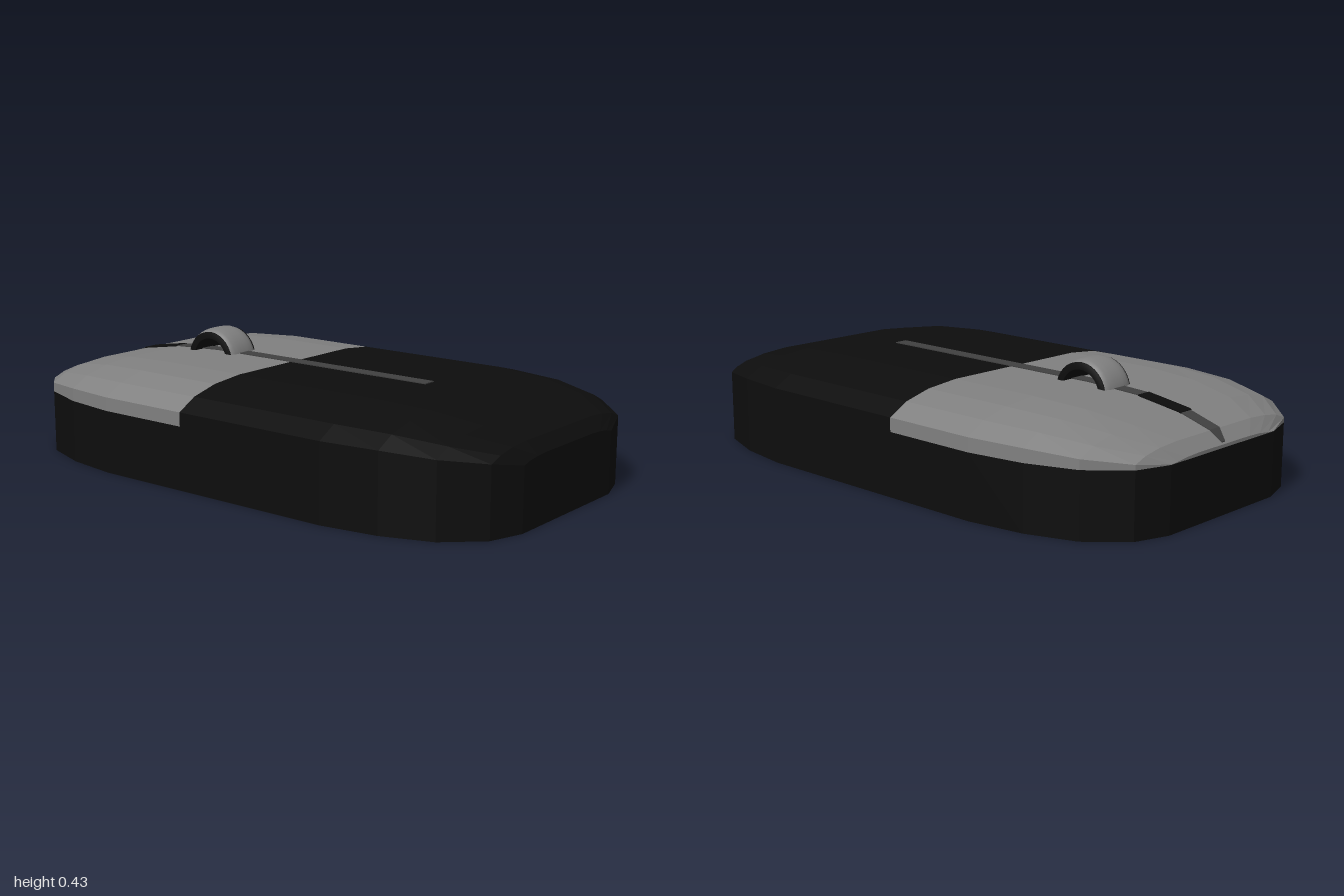
import * as THREE from 'three';

// Half-length stations: [|z|, half width, drop of the dome]
const STATIONS = [[0, 0.59, 0], [0.47, 0.59, 0], [0.67, 0.56, 0.01], [0.84, 0.5, 0.037], [0.96, 0.39, 0.075], [1, 0.27, 0.115]];
// Cross-section of the dome: [fraction of half width, drop]
const CROWN = [[1, 0.078], [0.88, 0.038], [0.71, 0.012], [0.5, 0], [0, 0], [-0.5, 0], [-0.71, 0.012], [-0.88, 0.038], [-1, 0.078]];
const TOP = 0.346, SEAM = 0.22, SPLIT = -0.12;

// Half width and dome drop at any z
function profile(z) {
  const a = Math.abs(z);
  let i = 1;
  while (i < STATIONS.length - 1 && a > STATIONS[i][0]) i++;
  const [p, q] = [STATIONS[i - 1], STATIONS[i]];
  const t = (a - p[0]) / (q[0] - p[0]);
  return { w: p[1] + (q[1] - p[1]) * t, drop: p[2] + (q[2] - p[2]) * t };
}

// Faceted solid through cross-sections, ordered by rising z
function loft(zs, section) {
  const rings = zs.map((z) => section(z).map(([x, y]) => [x, y, z]));
  const pos = [];
  const tri = (...pts) => pts.forEach((p) => pos.push(...p));
  const n = rings[0].length;
  for (let i = 0; i < rings.length - 1; i++) {
    for (let k = 0; k < n; k++) {
      const m = (k + 1) % n;
      const [a, b, c, d] = [rings[i][k], rings[i][m], rings[i + 1][m], rings[i + 1][k]];
      tri(a, b, c);
      tri(a, c, d);
    }
  }
  const first = rings[0], last = rings[rings.length - 1];
  for (let k = 1; k < n - 1; k++) {
    tri(first[0], first[k + 1], first[k]);
    tri(last[0], last[k], last[k + 1]);
  }
  const g = new THREE.BufferGeometry();
  g.setAttribute('position', new THREE.Float32BufferAttribute(pos, 3));
  g.computeVertexNormals();
  return g;
}

const crown = (z) => {
  const { w, drop } = profile(z);
  return CROWN.map(([u, d]) => [u * w, TOP - drop - d * (w / 0.59) ** 2]);
};
const shellSection = (z, base) => {
  const { w } = profile(z);
  return [[w, base], ...crown(z).map(([x, y]) => [x, Math.max(y, base + 0.001)]), [-w, base]];
};
const stripSection = (half, lift) => (z) => {
  const y = TOP - profile(z).drop;
  const x = z < -0.98 ? 0.008 : half;
  return [[x, y - 0.004], [x, y + lift], [-x, y + lift], [-x, y - 0.004]];
};

export function createModel() {
  const group = new THREE.Group();
  const mat = (name, color) => Object.assign(new THREE.MeshStandardMaterial({ color }), { name });
  const black = mat('black plastic', 0x0d0d0d);
  const grey = mat('grey plastic', 0x808080);
  const dark = mat('dark grey strip', 0x404040);
  const add = (name, geometry, material, parent = group) => {
    const mesh = new THREE.Mesh(geometry, material);
    mesh.name = name;
    parent.add(mesh);
    return mesh;
  };

  const rear = [-1, -0.96, -0.84, -0.67, -0.47, SPLIT];
  const front = [SPLIT, 0.47, 0.67, 0.84, 0.96, 1];

  // Body: palm half, lower half under the buttons, button cover
  add('palmShell', loft(front, (z) => shellSection(z, 0)), black);
  add('lowerShell', loft(rear, (z) => {
    const { w } = profile(z);
    return [[w, 0], [w, SEAM], [-w, SEAM], [-w, 0]];
  }), black);
  add('buttonCover', loft(rear, (z) => shellSection(z, SEAM)), grey);

  // Centre strip with a dark inset behind the wheel
  add('centreStrip', loft([-0.995, -0.96, -0.84, -0.67, -0.47, 0.465], stripSection(0.025, 0.003)), dark);
  add('stripInset', loft([-0.85, -0.84, -0.68], stripSection(0.028, 0.005)), black);

  // Scroll wheel: grey rounded tread on a black open ring
  const wheel = new THREE.Group();
  wheel.name = 'scrollWheel';
  wheel.position.set(0, 0.315, -0.47);
  wheel.rotation.z = -Math.PI / 2;
  group.add(wheel);
  const ring = (pts) => new THREE.LatheGeometry(pts.map(([r, x]) => new THREE.Vector2(r, x)), 32);
  const tread = [[0.096, -0.065], [0.106, -0.061], [0.112, -0.045], [0.115, -0.02], [0.115, 0.02], [0.112, 0.045], [0.106, 0.061], [0.096, 0.065]];
  add('wheelTread', ring(tread), grey, wheel);
  const side = [[0.08, -0.066], [0.104, -0.066], [0.104, -0.06]];
  const hub = [[0.08, 0.068], [0.08, -0.066]];
  const farSide = [[0.104, 0.06], [0.104, 0.068], [0.08, 0.068]];
  [['wheelSideRight', side], ['wheelBore', hub], ['wheelSideLeft', farSide]].forEach(([name, pts]) => add(name, ring(pts), black, wheel));

  return group;
}
